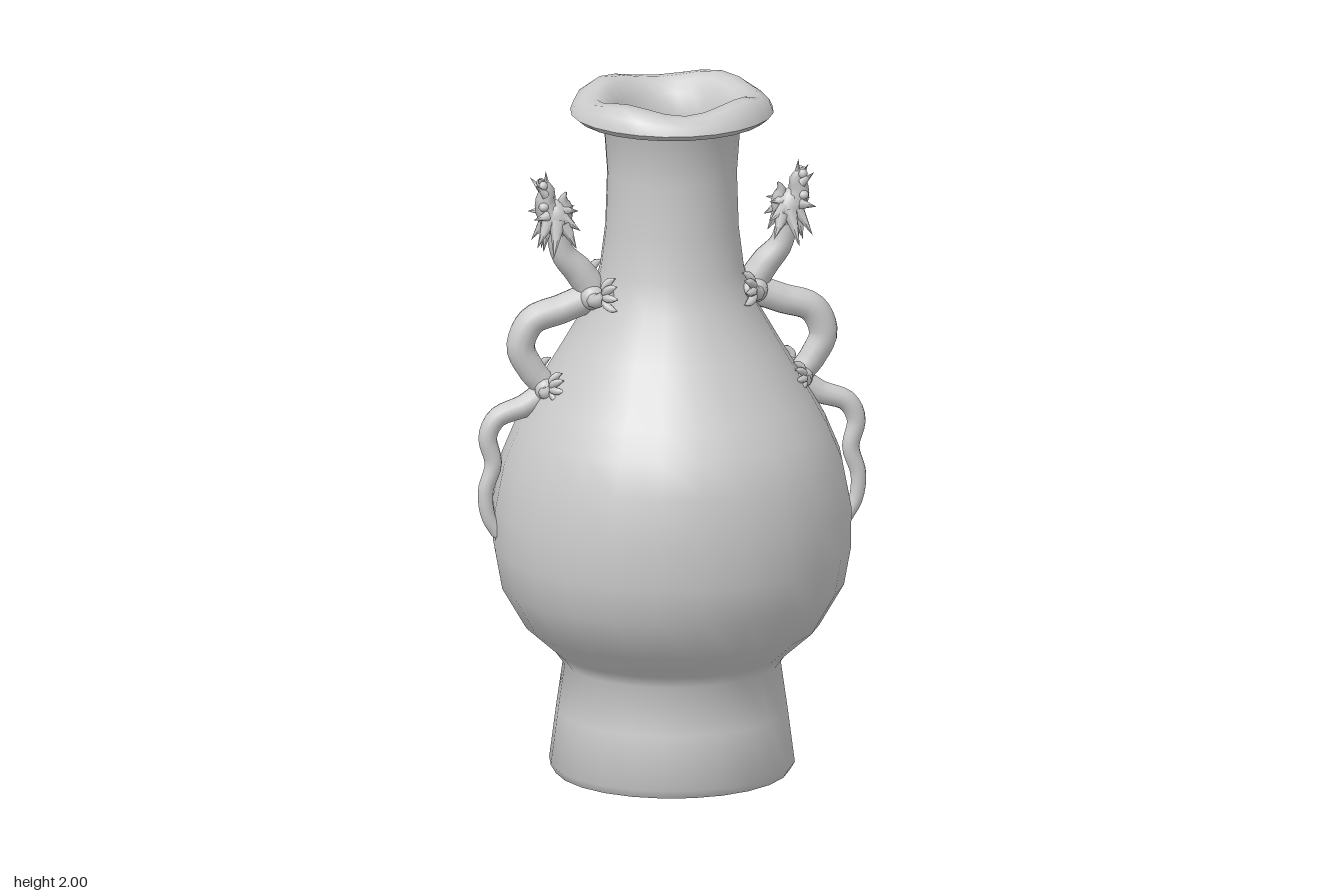
import * as THREE from 'three';
import { toCreasedNormals } from 'three/addons/utils/BufferGeometryUtils.js';

const material = new THREE.MeshStandardMaterial({ color: 0xcccccc });
const vec = (p) => new THREE.Vector3(...p);

function add(parent, name, geometry) {
  const mesh = new THREE.Mesh(geometry, material);
  mesh.name = name;
  parent.add(mesh);
  return mesh;
}

// Tube through points whose radius follows a list along its length
function taperedTube(points, radii, segments = 12, sides = 10) {
  const curve = new THREE.CatmullRomCurve3(points.map(vec));
  const geo = new THREE.TubeGeometry(curve, segments, 1, sides);
  const pos = geo.attributes.position;
  const v = new THREE.Vector3();
  for (let i = 0; i <= segments; i++) {
    const u = i / segments;
    const centre = curve.getPointAt(u);
    const t = u * (radii.length - 1);
    const k = Math.min(Math.floor(t), radii.length - 2);
    const r = THREE.MathUtils.lerp(radii[k], radii[k + 1], t - k);
    for (let j = 0; j <= sides; j++) {
      const n = i * (sides + 1) + j;
      v.fromBufferAttribute(pos, n).sub(centre).multiplyScalar(r).add(centre);
      pos.setXYZ(n, v.x, v.y, v.z);
    }
  }
  return geo;
}

// Ellipsoid at a point
function ball(parent, name, at, size, tilt = 0) {
  const mesh = add(parent, name, new THREE.SphereGeometry(1, 12, 8));
  mesh.position.set(...at);
  mesh.scale.set(...size);
  mesh.rotation.z = tilt;
}

// Pointed cone from base to tip
function spike(parent, name, from, to, radius) {
  const a = vec(from), b = vec(to);
  const dir = b.clone().sub(a);
  const mesh = add(parent, name, new THREE.ConeGeometry(radius, dir.length(), 6));
  mesh.position.copy(a).add(b).multiplyScalar(0.5);
  mesh.quaternion.setFromUnitVectors(new THREE.Vector3(0, 1, 0), dir.normalize());
}

// Hollow vase: foot, belly, neck, rolled lip and inner wall in one profile
function vaseGeometry() {
  const profile = [
    [0, 0], [0.335, 0], [0.35, 0.025], [0.33, 0.18], [0.31, 0.32], [0.335, 0.355],
    [0.42, 0.43], [0.49, 0.55], [0.51, 0.66], [0.512, 0.78], [0.5, 0.92], [0.465, 1.02],
    [0.41, 1.1], [0.305, 1.26], [0.23, 1.39], [0.205, 1.48], [0.19, 1.6], [0.185, 1.76],
    [0.195, 1.9], [0.205, 1.918], [0.27, 1.918], [0.29, 1.935], [0.28, 1.965],
    [0.25, 1.985], [0.215, 1.988], [0.19, 1.975], [0.165, 1.94], [0.15, 1.88], [0.148, 1.6],
    [0.18, 1.42], [0.27, 1.24], [0.43, 0.98], [0.47, 0.72], [0.44, 0.54], [0.3, 0.4],
    [0.15, 0.35], [0, 0.34],
  ].map(([x, y]) => new THREE.Vector2(x, y));
  const geo = new THREE.LatheGeometry(profile, 24);
  const pos = geo.attributes.position;
  for (let i = 0; i < pos.count; i++) {
    const x = pos.getX(i), y = pos.getY(i), z = pos.getZ(i);
    // four soft waves on the lip, and slightly flatter sides at the shoulder
    const wave = THREE.MathUtils.smoothstep(y, 1.93, 1.98);
    pos.setY(i, y - 0.012 * wave * Math.cos(4 * Math.atan2(x, z)));
    pos.setX(i, x * (1 - 0.05 * Math.exp(-(((y - 1.0) / 0.12) ** 2))));
  }
  return toCreasedNormals(geo, 1.0);
}

// One limb: shoulder, bent arm and a fan of toes gripping the vase
function limb(parent, name, shoulder, paw, side, s) {
  const g = new THREE.Group();
  g.name = name;
  parent.add(g);
  const [sx, sy, sz] = shoulder, [px, py, pz] = paw;
  ball(g, 'shoulder', [sx, sy, sz * side], [0.036 * s, 0.036 * s, 0.032 * s]);
  add(g, 'arm', taperedTube([
    [sx, sy, sz * side],
    [(sx + px) / 2 + 0.012, (sy + py) / 2 - 0.012, (sz + pz) / 2 * side],
    [px, py, pz * side],
  ], [0.028 * s, 0.02 * s, 0.019 * s], 8, 8));
  ball(g, 'paw', [px, py, pz * side], [0.022 * s, 0.022 * s, 0.022 * s]);
  for (const angle of [-0.75, 0.05, 0.75, 1.45]) {
    const dy = Math.sin(angle) * s, dz = Math.cos(angle) * s * side;
    add(g, 'toe', taperedTube([
      [px, py, pz * side],
      [px + 0.008, py + dy * 0.025, pz * side + dz * 0.025],
      [px - 0.006, py + dy * 0.045, pz * side + dz * 0.045],
      [px - 0.022, py + dy * 0.052, pz * side + dz * 0.052],
    ], [0.01, 0.0125 * s, 0.013 * s, 0.011 * s, 0.001], 8, 6));
  }
}

// Head looking upward with open jaws, horns and a ragged mane
function head(parent) {
  const g = new THREE.Group();
  g.name = 'head';
  parent.add(g);
  ball(g, 'skull', [0.335, 1.63, 0], [0.043, 0.062, 0.042], -0.25);
  add(g, 'upperJaw', taperedTube([[0.345, 1.63, 0], [0.365, 1.68, 0], [0.363, 1.72, 0], [0.385, 1.75, 0]],
    [0.035, 0.037, 0.029, 0.022, 0.002], 10, 8));
  add(g, 'lowerJaw', taperedTube([[0.32, 1.62, 0], [0.31, 1.66, 0], [0.315, 1.69, 0], [0.305, 1.71, 0]],
    [0.028, 0.026, 0.018, 0.002], 8, 8));
  spike(g, 'noseHorn', [0.36, 1.71, 0], [0.365, 1.775, 0], 0.014);
  for (const s of [-1, 1]) {
    ball(g, 'brow', [0.375, 1.675, 0.026 * s], [0.015, 0.013, 0.015]);
    ball(g, 'nostril', [0.375, 1.735, 0.018 * s], [0.013, 0.014, 0.012]);
    spike(g, 'snoutHorn', [0.37, 1.71, 0.025 * s], [0.402, 1.745, 0.045 * s], 0.013);
    spike(g, 'ear', [0.365, 1.65, 0.03 * s], [0.408, 1.645, 0.05 * s], 0.016);
    spike(g, 'mane', [0.335, 1.63, 0.025 * s], [0.355, 1.535, 0.075 * s], 0.024);
    spike(g, 'mane', [0.36, 1.63, 0.02 * s], [0.398, 1.56, 0.048 * s], 0.02);
    spike(g, 'mane', [0.36, 1.63, 0.01 * s], [0.375, 1.54, 0.02 * s], 0.02);
    spike(g, 'mane', [0.315, 1.62, 0.025 * s], [0.285, 1.555, 0.055 * s], 0.022);
    spike(g, 'mane', [0.32, 1.64, 0.02 * s], [0.272, 1.605, 0.045 * s], 0.02);
    spike(g, 'chinTuft', [0.315, 1.66, 0.015 * s], [0.275, 1.66, 0.03 * s], 0.015);
  }
}

// Climbing dragon handle, symmetric across z = 0
function dragon(name) {
  const g = new THREE.Group();
  g.name = name;
  add(g, 'body', taperedTube([
    [0.335, 1.61, 0], [0.315, 1.53, 0], [0.265, 1.47, 0], [0.235, 1.41, 0], [0.31, 1.37, 0],
    [0.405, 1.335, 0], [0.437, 1.26, 0], [0.405, 1.19, 0], [0.37, 1.135, 0], [0.42, 1.09, 0],
    [0.505, 1.055, 0], [0.532, 1.0, 0], [0.516, 0.92, 0], [0.538, 0.84, 0], [0.53, 0.765, 0],
    [0.503, 0.715, 0],
  ], [0.03, 0.034, 0.042, 0.045, 0.043, 0.043, 0.042, 0.041, 0.039, 0.036, 0.033, 0.03, 0.027,
    0.025, 0.023, 0.021, 0.019], 64, 12));
  ball(g, 'tailTip', [0.503, 0.715, 0], [0.018, 0.016, 0.018]);
  head(g);
  for (const side of [-1, 1]) {
    limb(g, 'frontLeg', [0.235, 1.405, 0.035], [0.205, 1.425, 0.1], side, 1);
    limb(g, 'hindLeg', [0.37, 1.14, 0.03], [0.355, 1.155, 0.082], side, 0.88);
  }
  return g;
}

export function createModel() {
  const model = new THREE.Group();
  model.name = 'dragonVase';
  add(model, 'vase', vaseGeometry());
  const left = dragon('leftDragon');
  const right = dragon('rightDragon');
  right.rotation.y = Math.PI;
  model.add(left, right);
  return model;
}
